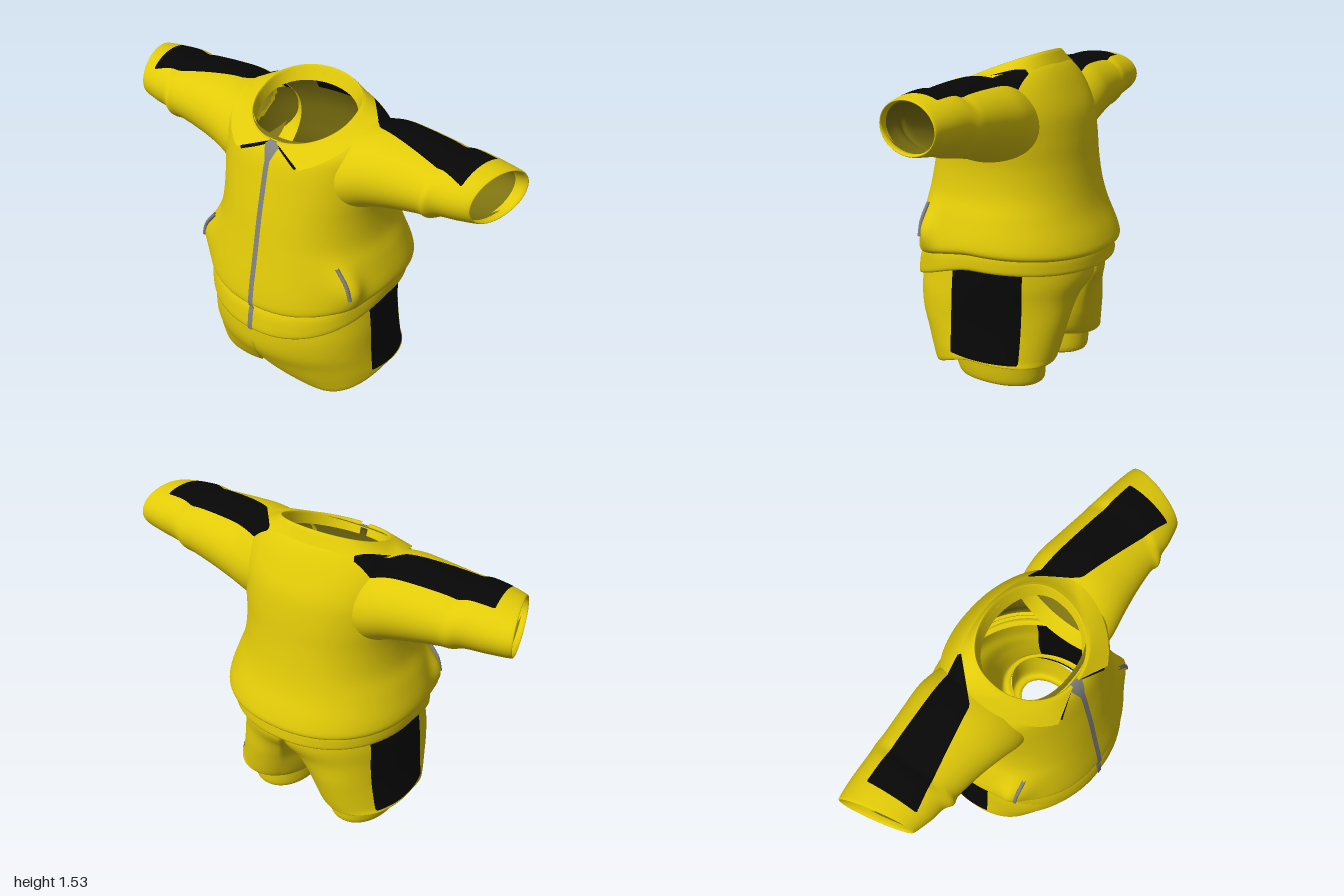
import * as THREE from 'three';

const cloth = (name, color) => {
  const m = new THREE.MeshStandardMaterial({ color, side: THREE.DoubleSide });
  m.name = name;
  return m;
};
const yellow = cloth('yellow cloth', 0xe1ca08);
const black = cloth('black panel', 0x070707);
const grey = cloth('grey zip', 0x808080);
const olive = cloth('olive lining', 0x7d7210);

// Smoothly interpolates a list of cross-section rows
function refine(rows, steps) {
  const out = [];
  const at = (i) => rows[Math.min(rows.length - 1, Math.max(0, i))];
  for (let i = 0; i < rows.length - 1; i++) {
    for (let k = 0; k < steps; k++) {
      const t = k / steps;
      out.push(rows[i].map((b, c) => {
        const a = at(i - 1)[c], d = at(i + 1)[c], e = at(i + 2)[c];
        return b + 0.5 * t * (d - a + t * (2 * a - 5 * b + 4 * d - e + t * (3 * (b - d) + e - a)));
      }));
    }
  }
  out.push(rows[rows.length - 1]);
  return out;
}

// Skins rows of points. Where panel(x, y, z) > 0 the cloth is black, cut along
// a clean edge; faces whose centre is inside open(x, y, z) are left out.
function loft(name, rows, point, { seg = 120, closed = true, side = 1, flip = false, base = yellow, panel = () => -1, open = () => false } = {}) {
  const pos = [], dist = [], faces = [[], []], cuts = {}, cols = closed ? seg : seg + 1;
  for (const row of rows) {
    for (let j = 0; j < cols; j++) {
      const [x, y, z] = point(row, j / seg);
      pos.push(x * side, y, z);
      dist.push(panel(Math.abs(x), y, z));
    }
  }
  const put = (m, a, b, c) => faces[m].push(a, ...((side < 0) !== flip ? [c, b] : [b, c]));
  const cut = (a, b) => {
    const key = Math.min(a, b) + '_' + Math.max(a, b);
    if (cuts[key] === undefined) {
      const f = dist[a] / (dist[a] - dist[b]);
      cuts[key] = pos.length / 3;
      for (let k = 0; k < 3; k++) pos.push(pos[a * 3 + k] + f * (pos[b * 3 + k] - pos[a * 3 + k]));
    }
    return cuts[key];
  };
  const tri = (...v) => {
    const mid = [0, 1, 2].map((k) => v.reduce((s, i) => s + pos[i * 3 + k] / 3, 0));
    if (open(Math.abs(mid[0]), mid[1], mid[2])) return;
    const m = v.map((i) => (dist[i] > 0 ? 1 : 0));
    const sum = m[0] + m[1] + m[2];
    if (sum % 3 === 0) return put(m[0], ...v);
    const odd = m.indexOf(sum === 1 ? 1 : 0);
    const p = v[odd], q = v[(odd + 1) % 3], r = v[(odd + 2) % 3];
    const u = cut(p, q), w = cut(p, r);
    put(m[odd], p, u, w);
    put(1 - m[odd], u, q, r);
    put(1 - m[odd], u, r, w);
  };
  for (let i = 0; i < rows.length - 1; i++) {
    for (let j = 0; j < seg; j++) {
      const a = i * cols + j, b = i * cols + (j + 1) % cols;
      tri(a, b, a + cols);
      tri(b, b + cols, a + cols);
    }
  }
  const g = new THREE.BufferGeometry();
  g.setAttribute('position', new THREE.Float32BufferAttribute(pos, 3));
  g.setIndex([...faces[0], ...faces[1]]);
  g.addGroup(0, faces[0].length, 0);
  g.addGroup(faces[0].length, faces[1].length, 1);
  g.computeVertexNormals();
  const mesh = new THREE.Mesh(g, faces[1].length ? [base, black] : base);
  mesh.name = name;
  return mesh;
}

function tube(name, points, radius, material) {
  const curve = new THREE.CatmullRomCurve3(points.map((p) => new THREE.Vector3(...p)));
  const mesh = new THREE.Mesh(new THREE.TubeGeometry(curve, 16, radius, 8), material);
  mesh.name = name;
  return mesh;
}

const slope = (z, front, back) => (z > 0 ? front * z * z / (z + 0.2) : back * z);
const power = (v, n) => Math.sign(v) * Math.abs(v) ** (2 / n);

// Row: height, front slope, back slope, half width, front z, back z; bulges at the pockets
function bodyPoint([y0, kf, kb, w, zf, zb], t) {
  const a = t * Math.PI * 2;
  const z = (zf + zb) / 2 + (zf - zb) / 2 * power(Math.cos(a), 2.2);
  const y = y0 + slope(z, kf, kb);
  const bulge = 0.055 * Math.exp(-(((y - 0.72) / 0.09) ** 2) - ((z - 0.27) / 0.06) ** 2);
  return [w * power(Math.sin(a), 2.2) + Math.sign(Math.sin(a)) * bulge, y, z];
}

// Row: x, x slope, bottom, top, front z, back z
function sleevePoint([x, k, yb, yt, zf, zb], t) {
  const a = t * Math.PI * 2;
  const z = (zf + zb) / 2 + (zf - zb) / 2 * Math.cos(a);
  return [x + k * z, (yb + yt) / 2 - (yt - yb) / 2 * Math.sin(a), z];
}

// Row: height, front slope, back slope, inner x, outer x, front z, back z, roundness front, back
function legPoint([y, kf, kb, xi, xo, zf, zb, mf, mb], t) {
  const a = (t * 2 - 1) * Math.PI, limit = Math.PI * 2 / 3;
  let dx = 0, dz;
  if (Math.abs(a) <= limit) {
    dx = Math.cos(a * 0.75);
    dz = -Math.sin(a * 0.75);
  } else dz = -Math.sign(a) * (Math.PI - Math.abs(a)) / (Math.PI - limit);
  const mix = mb + (mf - mb) * (dz + 1) / 2;
  const ex = 0.5 + 0.5 * power(Math.cos(a), 2.1), ez = -power(Math.sin(a), 2.1);
  const z = (zf + zb) / 2 + (zf - zb) / 2 * (dz + (ez - dz) * mix);
  return [xi + (xo - xi) * (dx + (ex - dx) * mix), y + slope(z, kf, kb), z];
}

// Black panel over each shoulder and sleeve, and down each trouser side
function shoulderPanel(x, y, z) {
  const front = x < 0.38 ? -0.16 + (x - 0.23) * 1.15 : 0.012 + (x - 0.38) * 0.24;
  const back = -0.175 + (x - 0.23) * 0.095;
  return Math.min(y - 1.33, x - 0.23, 0.885 - (z + 0.11) * 0.13 - x, front - z, z - back);
}
const trouserPanel = (x, y, z) => Math.min(x - 0.34, y - 0.148 - z * 0.08, 0.115 - z, z + 0.215);
const neckPanel = (x, y, z) => Math.min(0.15 - x, y - 1.35, 1.425 - y, -z);
const armhole = (x, y, z) => x > 0.3 && ((z + 0.005) / 0.165) ** 2 + ((y - 1.285) / 0.13) ** 2 < 1;

export function createModel() {
  const model = new THREE.Group();

  // Jacket body with open armholes, and its lining
  const bodyRows = refine([
    [0.635, -0.28, 0.05, 0.45, 0.43, -0.43],
    [0.655, -0.28, 0.05, 0.485, 0.458, -0.472],
    [0.70, -0.18, 0.02, 0.484, 0.452, -0.46],
    [0.80, 0, 0, 0.45, 0.42, -0.415],
    [0.90, 0, 0, 0.412, 0.40, -0.388],
    [1.02, 0, 0, 0.398, 0.376, -0.367],
    [1.14, 0, 0, 0.405, 0.348, -0.352],
    [1.26, 0, 0, 0.41, 0.318, -0.328],
    [1.36, -0.25, -0.02, 0.395, 0.293, -0.28],
    [1.42, -0.48, -0.18, 0.335, 0.262, -0.22],
    [1.435, -0.66, -0.38, 0.25, 0.235, -0.165],
  ], 6);
  const liningRows = bodyRows.slice(6, -3).map(([y, kf, kb, w, zf, zb]) => [y, kf, kb, w - 0.014, zf - 0.014, zb + 0.014]);
  model.add(loft('jacketBody', bodyRows, bodyPoint, { panel: shoulderPanel, open: armhole }));
  model.add(loft('jacketLining', liningRows, bodyPoint, { flip: true, base: olive, panel: neckPanel, open: armhole }));

  // Waistband hanging lower at the front
  const bandRows = refine([
    [0.68, -0.31, 0.05, 0.445, 0.43, -0.43],
    [0.645, -0.34, 0.05, 0.46, 0.455, -0.447],
    [0.605, -0.38, 0.05, 0.464, 0.466, -0.452],
    [0.57, -0.44, 0.04, 0.46, 0.468, -0.45],
    [0.565, -0.43, 0.04, 0.435, 0.44, -0.42],
  ], 4);
  model.add(loft('jacketWaistband', bandRows, bodyPoint, { flip: true }));

  // Zip: a narrow ribbon down the front, spreading a little at the neck
  const zipRows = [...bandRows.slice(3, 13).reverse(), ...bodyRows.slice(5, -4)];
  model.add(loft('frontZip', zipRows, (row, t) => {
    const [, y, z] = bodyPoint(row, 0);
    return [(t - 0.5) * (0.027 + Math.max(0, y - 1.28) * 0.8), y, z + 0.007];
  }, { seg: 2, closed: false, base: grey }));

  // Folded collar: inner stand, fold, then a fall with two front points
  const collarPoint = ([v], t) => {
    const s = t * 2 - 1;
    const ring = (gap, rx, rf, rb) => {
      const a = Math.PI + s * (Math.PI - gap);
      const c = Math.cos(a);
      return [rx * Math.sin(a), 0.03 + (c > 0 ? c * rf : power(c, 2.5) * rb)];
    };
    const lower = ring(0.08, 0.235, 0.215, 0.18);
    const fold = ring(0.08, 0.248, 0.235, 0.208);
    const fall = ring(0.52, 0.345, 0.335, 0.246);
    const P = [
      [lower[0], 1.40 - 0.38 * lower[1], lower[1]],
      [fold[0], 1.46 - 0.38 * fold[1], fold[1]],
      [fold[0] * 1.08, 1.452 - 0.36 * fold[1], fold[1] * 1.05],
      [fall[0], 1.432 + slope(fall[1], -0.7, -0.13), fall[1]],
    ];
    const i = Math.min(2, Math.floor(v)), f = v - i;
    return P[i].map((q, k) => q + (P[i + 1][k] - q) * f);
  };
  model.add(loft('collar', refine([[0], [1], [2], [3]], 6), collarPoint, { closed: false, flip: true, panel: shoulderPanel }));

  // Sleeves, cut on a slant and turned in at the cuff, with linings
  const sleeveRows = refine([
    [0.25, 0, 1.00, 1.40, 0.235, -0.25],
    [0.33, 0, 1.025, 1.427, 0.235, -0.262],
    [0.42, 0, 1.068, 1.442, 0.22, -0.262],
    [0.54, 0, 1.10, 1.44, 0.20, -0.245],
    [0.67, 0, 1.128, 1.43, 0.188, -0.228],
    [0.72, -0.03, 1.135, 1.422, 0.198, -0.225],
    [0.77, -0.08, 1.155, 1.435, 0.18, -0.212],
    [0.86, -0.2, 1.168, 1.428, 0.172, -0.20],
    [0.95, -0.28, 1.183, 1.415, 0.152, -0.182],
    [0.945, -0.28, 1.193, 1.405, 0.142, -0.168],
    [0.91, -0.25, 1.19, 1.405, 0.144, -0.165],
  ], 6);
  const sleeveLining = sleeveRows.slice(5, 47).map(([x, k, yb, yt, zf, zb]) => [x, k, yb + 0.015, yt - 0.015, zf - 0.015, zb + 0.015]);

  // Trouser legs: one seat in front, parted legs behind, rounding off to the hems
  const legRows = refine([
    [0.63, 0, 0, 0, 0.43, 0.43, -0.40, 0, 0],
    [0.50, 0, 0, 0, 0.443, 0.455, -0.41, 0, 0.1],
    [0.40, 0, 0, 0, 0.448, 0.464, -0.375, 0, 0.45],
    [0.30, 0, 0, 0, 0.452, 0.452, -0.355, 0, 0.75],
    [0.22, -0.07, 0, 0, 0.462, 0.405, -0.337, 0.1, 0.9],
    [0.17, -0.33, 0.1, 0.012, 0.472, 0.345, -0.318, 0.4, 1],
    [0.14, -0.6, 0.1, 0.04, 0.474, 0.28, -0.305, 0.9, 1],
    [0.145, -0.6, 0.1, 0.07, 0.44, 0.25, -0.28, 1, 1],
    [0.19, -0.5, 0.1, 0.09, 0.43, 0.25, -0.27, 1, 1],
  ], 6);
  const cuffRows = refine([
    [0.20, 0, 0, 0.09, 0.41, 0.21, -0.26, 1, 1],
    [0.12, -0.1, 0, 0.085, 0.405, 0.20, -0.255, 1, 1],
    [0.02, 0, 0.04, 0.085, 0.39, 0.175, -0.25, 1, 1],
    [0.01, 0, 0.04, 0.11, 0.36, 0.14, -0.21, 1, 1],
    [0.05, 0, 0, 0.125, 0.35, 0.12, -0.19, 1, 1],
  ], 5);

  for (const side of [1, -1]) {
    const tag = side > 0 ? 'left' : 'right';
    model.add(
      loft(tag + 'Sleeve', sleeveRows, sleevePoint, { side, panel: shoulderPanel }),
      loft(tag + 'SleeveLining', sleeveLining, sleevePoint, { side, flip: true, seg: 80, base: olive }),
      loft(tag + 'TrouserLeg', legRows, legPoint, {
        side, flip: true, panel: trouserPanel, open: (x, y) => x < 0.004 && y > 0.33,
      }),
      loft(tag + 'InnerCuff', cuffRows, legPoint, { side, flip: true, seg: 64 }),
      // Slanted pocket slit and the dark seam below the collar front
      tube(tag + 'PocketSlit', [[0.36 * side, 0.83, 0.284], [0.416 * side, 0.755, 0.287], [0.437 * side, 0.685, 0.287]], 0.009, grey),
      tube(tag + 'CollarSeam', [[0.03 * side, 1.34, 0.27], [0.09 * side, 1.316, 0.292], [0.15 * side, 1.294, 0.314]], 0.008, black),
    );
  }
  return model;
}
